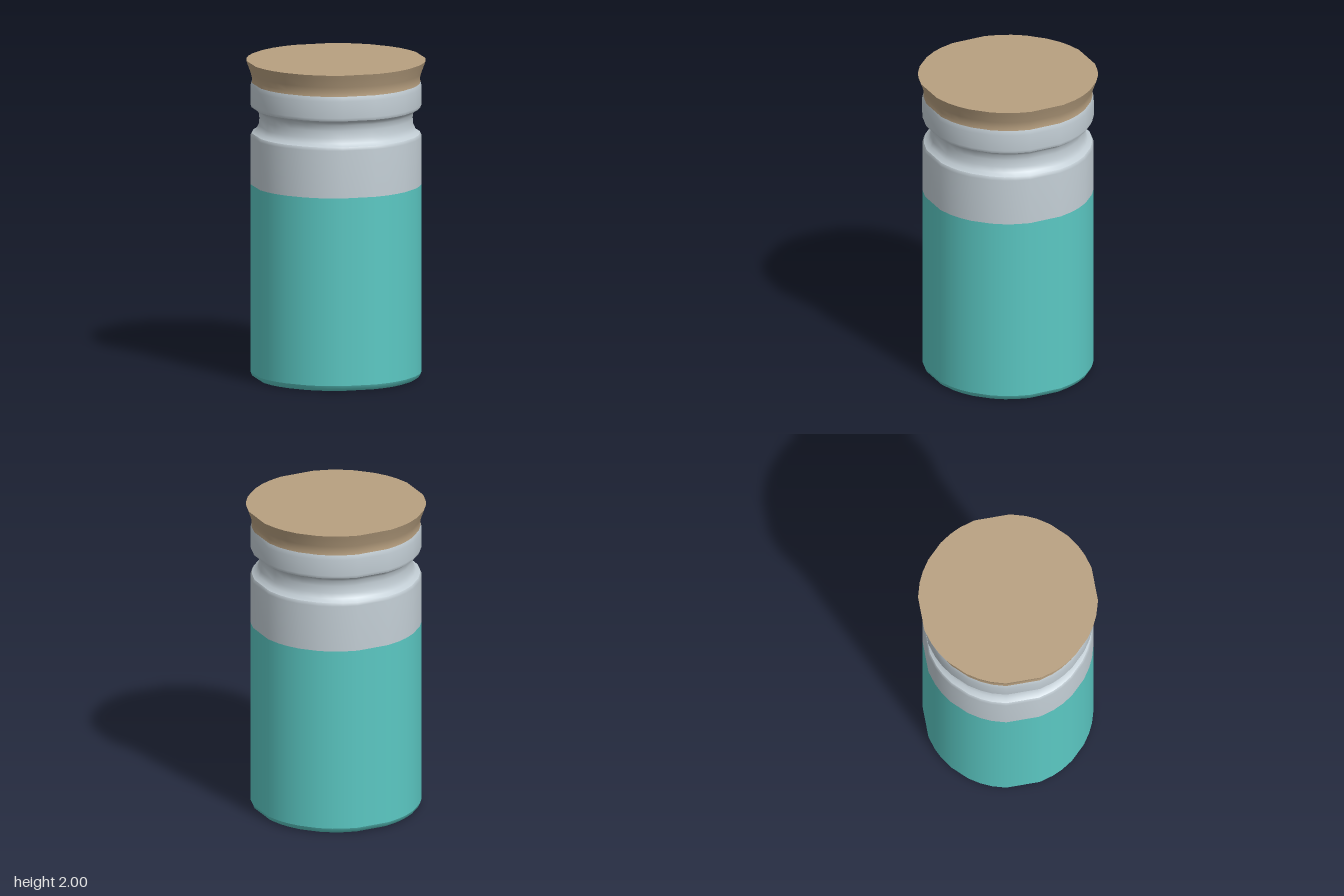
import * as THREE from 'three';

const teal = new THREE.MeshStandardMaterial({ name: 'teal liquid', color: 0x5bc8c3 });
const glass = new THREE.MeshStandardMaterial({ name: 'pale glass', color: 0xc3ced5 });
const cork = new THREE.MeshStandardMaterial({ name: 'cork', color: 0xb8a080 });

// Corner angles of one quarter of the uneven, many-sided outline, in degrees
const QUARTER = [7, 16, 23.5, 33.5, 56.5, 66.5, 74, 83];
const SIDES = QUARTER.length * 4;

function cornerAngle(i) {
  const k = i % SIDES;
  return THREE.MathUtils.degToRad(QUARTER[k % 8] + 90 * Math.floor(k / 8));
}

// Lathe whose segments are turned to the corner angles above
function ring(name, material, profile) {
  const geo = new THREE.LatheGeometry(profile.map(([r, y]) => new THREE.Vector2(r, y)), SIDES);
  const up = new THREE.Vector3(0, 1, 0);
  const v = new THREE.Vector3();
  for (const attr of [geo.attributes.position, geo.attributes.normal]) {
    for (let n = 0; n < attr.count; n++) {
      const i = Math.floor(n / profile.length);
      const turn = cornerAngle(i) - (i / SIDES) * Math.PI * 2;
      v.fromBufferAttribute(attr, n).applyAxisAngle(up, turn);
      attr.setXYZ(n, v.x, v.y, v.z);
    }
  }
  const mesh = new THREE.Mesh(geo, material);
  mesh.name = name;
  return mesh;
}

export function createModel() {
  const jar = new THREE.Group();
  jar.name = 'corkedJar';
  jar.add(
    // Filled lower body
    ring('base', teal, [[0, 0], [0.505, 0]]),
    ring('baseBevel', teal, [[0.505, 0], [0.522, 0.012], [0.532, 0.035]]),
    ring('liquidBody', teal, [[0.532, 0.035], [0.532, 1.22]]),
    // Clear glass above the liquid
    ring('upperBody', glass, [[0.532, 1.22], [0.532, 1.52], [0.522, 1.54]]),
    ring('neck', glass, [[0.522, 1.54], [0.495, 1.558], [0.481, 1.59], [0.477, 1.635], [0.481, 1.67], [0.497, 1.69], [0.525, 1.705]]),
    ring('lip', glass, [[0.525, 1.705], [0.533, 1.725], [0.533, 1.83], [0.525, 1.86]]),
    // Flared stopper
    ring('stopperSide', cork, [[0.525, 1.86], [0.522, 1.885], [0.53, 1.92], [0.55, 1.975], [0.559, 2]]),
    ring('stopperTop', cork, [[0.559, 2], [0, 2]]),
  );
  return jar;
}
